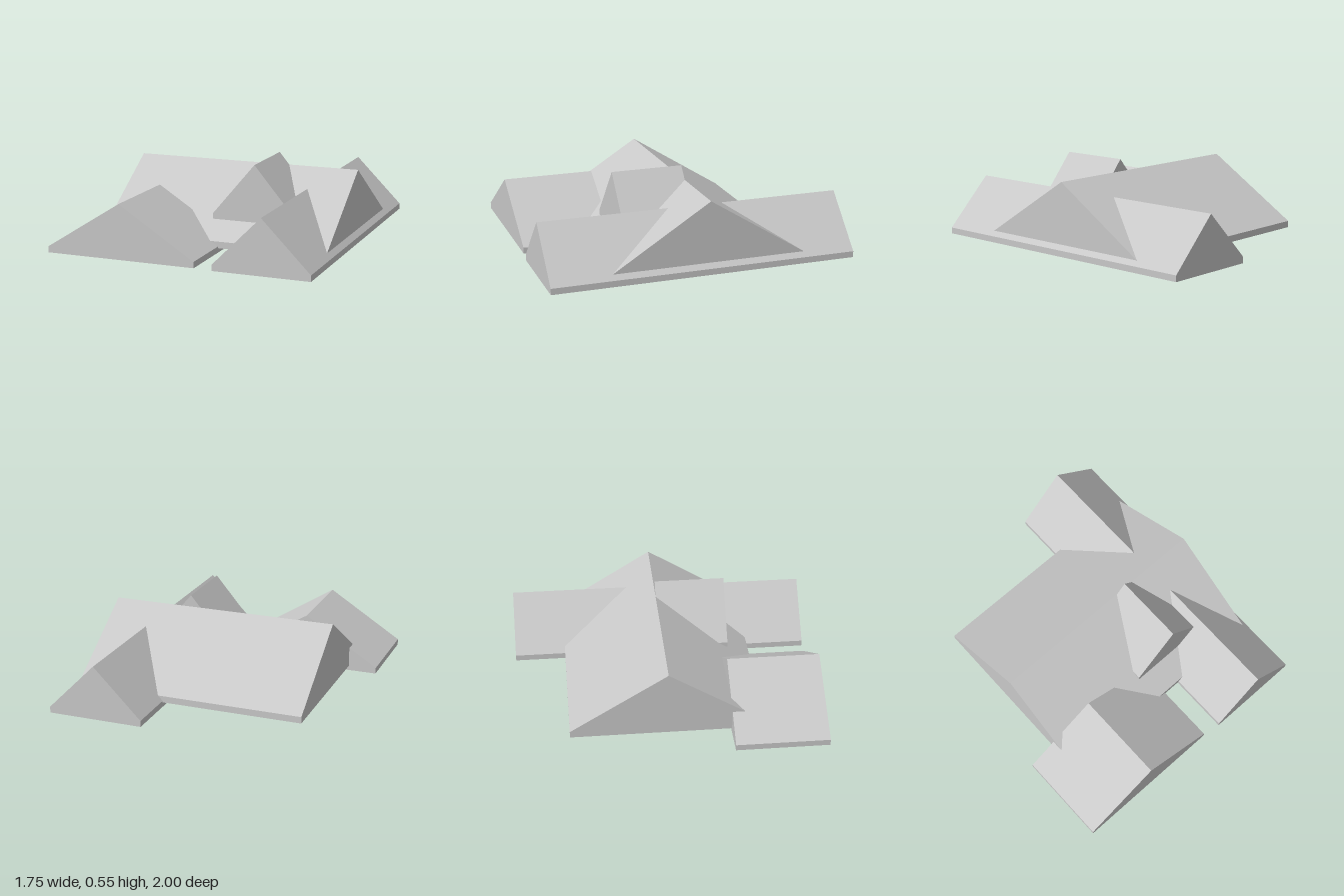
import * as THREE from 'three';

const roofGrey = new THREE.MeshStandardMaterial({ color: 0xc8c8c8 });
roofGrey.name = 'roofGrey';

// Extrudes a profile in x/y from z = from to z = to
function extrude(points, from, to, name) {
  const shape = new THREE.Shape(points.map(([x, y]) => new THREE.Vector2(x, y)));
  const geometry = new THREE.ExtrudeGeometry(shape, { depth: to - from, bevelEnabled: false });
  geometry.translate(0, 0, from);
  const mesh = new THREE.Mesh(geometry, roofGrey);
  mesh.name = name;
  return mesh;
}

// Gabled roof with its ridge along z; w = half width, base/eave/ridge = heights
function gableRoof(name, { w, base, eave, ridge, from, to, hollow = false }) {
  const roof = new THREE.Group();
  roof.name = name;
  const inner = ridge - (eave - base);
  const outline = [[-w, base], [w, base], [w, eave], [0, ridge], [-w, eave]];

  // Two sloping slabs with upright fascias
  const slabs = [[-w, base], [0, inner], [w, base], [w, eave], [0, ridge], [-w, eave]];
  const gap = hollow ? 0.005 : 0;
  roof.add(extrude(slabs, from + gap, to - gap, 'roofSlabs'));

  if (hollow) {
    // Open underneath, closed by a thin wall at each end
    roof.add(extrude(outline, from, from + gap, 'endGable'));
    roof.add(extrude(outline, to - gap, to, 'endGable'));
  } else {
    // Closed gables and flat underside
    roof.add(extrude([[-w, base], [w, base], [0, inner]], from, to, 'gableFill'));
  }
  return roof;
}

export function createModel() {
  const model = new THREE.Group();
  model.name = 'houseRoof';

  // Main roof, ridge running left to right
  const main = gableRoof('mainRoof', {
    w: 0.63, base: 0.03, eave: 0.073, ridge: 0.47, from: -0.69, to: 0.845, hollow: true,
  });
  main.rotation.y = Math.PI / 2;
  main.position.z = -0.03;

  // Long cross wing
  const wing = gableRoof('longWingRoof', {
    w: 0.315, base: 0, eave: 0.04, ridge: 0.357, from: -1, to: 1,
  });
  wing.position.x = 0.56;

  // Wide front wing
  const front = gableRoof('frontWingRoof', {
    w: 0.5, base: 0, eave: 0.04, ridge: 0.357, from: 0.38, to: 0.985,
  });
  front.position.x = -0.38;

  // Dormer rising through the front slope
  const dormer = gableRoof('dormerRoof', {
    w: 0.285, base: 0.177, eave: 0.212, ridge: 0.55, from: -0.03, to: 0.44,
  });
  dormer.position.x = 0.305;

  model.add(main, wing, front, dormer);
  return model;
}
